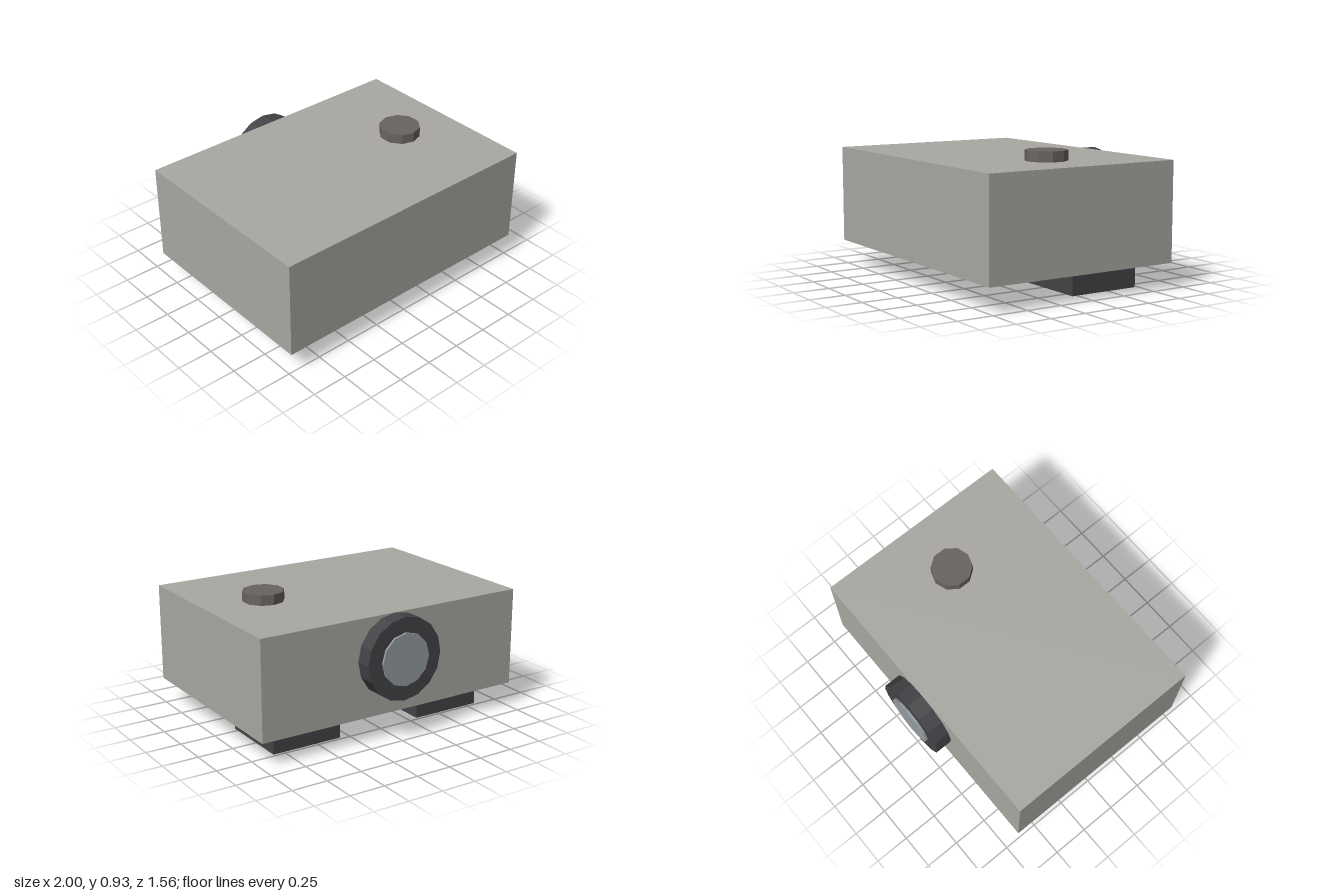
import * as THREE from 'three';

const mat = (color) => new THREE.MeshStandardMaterial({ color, flatShading: true });

export function createModel() {
  const model = new THREE.Group();
  const bodyMat = mat(0xaaa8a2);
  const darkMat = mat(0x444448);
  const knobMat = mat(0x6a6460);
  const glassMat = mat(0x949ca0);

  const add = (name, geometry, material, x, y, z) => {
    const mesh = new THREE.Mesh(geometry, material);
    mesh.name = name;
    mesh.position.set(x, y, z);
    model.add(mesh);
    return mesh;
  };

  // Disc whose axis runs along z
  const disc = (radius, depth, sides) =>
    new THREE.CylinderGeometry(radius, radius, depth, sides).rotateX(Math.PI / 2);

  // Main case
  add('body', new THREE.BoxGeometry(2, 0.685, 1.425), bodyMat, 0, 0.5175, 0.065);

  // Two feet under the rear half
  for (const side of [-1, 1]) {
    add(side > 0 ? 'leftFoot' : 'rightFoot',
      new THREE.BoxGeometry(0.51, 0.175, 0.515), darkMat, side * 0.572, 0.0875, -0.2225);
  }

  // Faceted button on the top
  add('topButton', new THREE.CylinderGeometry(0.143, 0.143, 0.07, 10), knobMat, 0.57, 0.895, 0.065);

  // Lens on the back: dark barrel with a glass disc standing slightly proud
  add('lensBarrel', disc(0.286, 0.115, 16), darkMat, 0, 0.574, -0.705);
  add('lensGlass', disc(0.182, 0.06, 12), glassMat, 0, 0.574, -0.748);

  return model;
}
